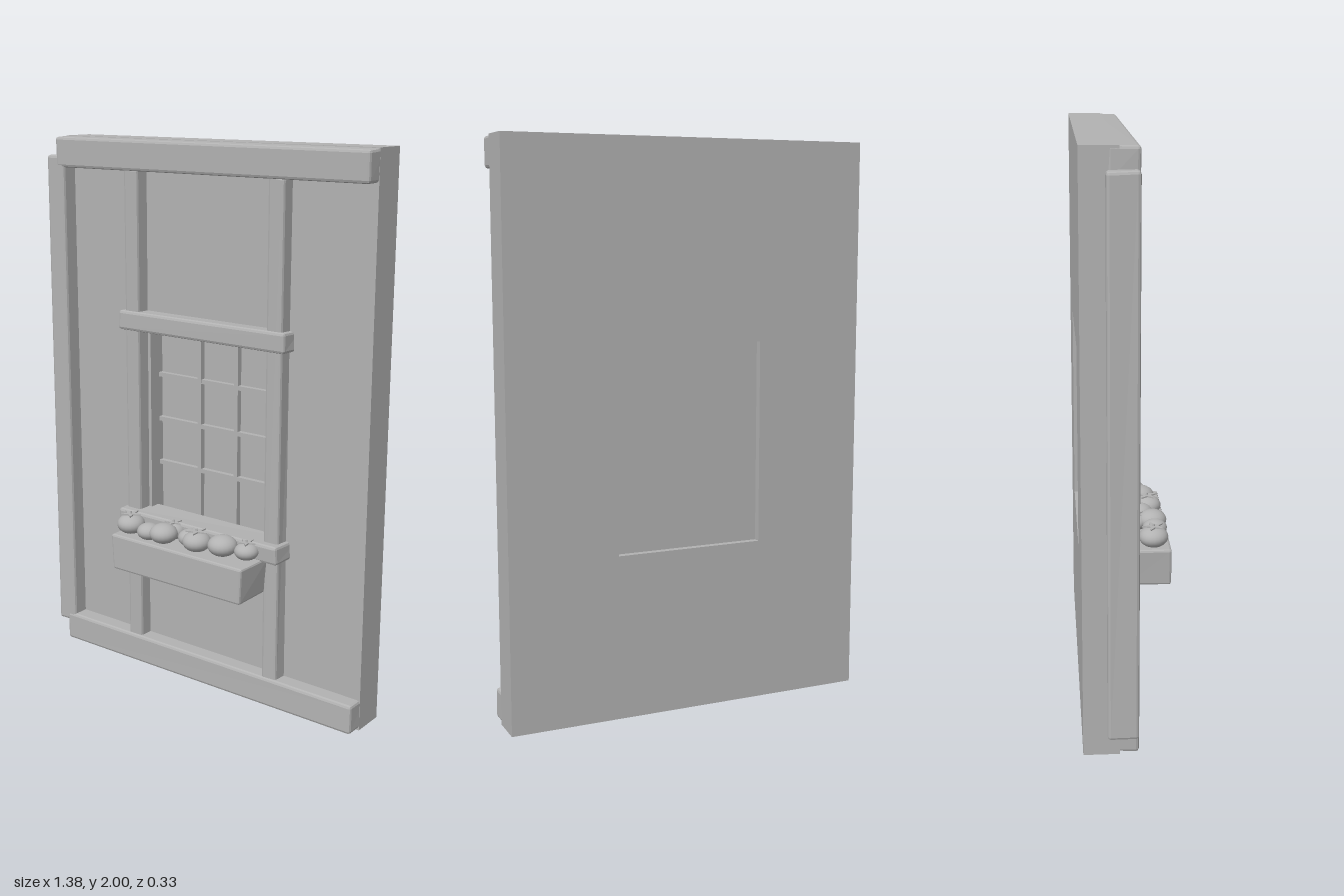
import * as THREE from 'three';
import { RoundedBoxGeometry } from 'three/addons/geometries/RoundedBoxGeometry.js';

const plaster = new THREE.MeshStandardMaterial({ color: 0xb2b2b2 });

// small repeatable wobble for hand-hewn corners
let seed = 7;
const wobble = (a) => {
  seed = (seed * 16807) % 2147483647;
  return (seed / 2147483647 - 0.5) * 2 * a;
};

function add(parent, name, geometry, x = 0, y = 0, z = 0) {
  const mesh = new THREE.Mesh(geometry, plaster);
  mesh.name = name;
  mesh.position.set(x, y, z);
  parent.add(mesh);
  return mesh;
}

// chamfered timber between two corners, each of its eight corners nudged slightly
function timber(parent, name, x0, x1, y0, y1, z0, z1, rough = 0.003, chamfer = 0.01, flare = 0) {
  const g = new RoundedBoxGeometry(x1 - x0, y1 - y0, z1 - z0, 1, chamfer);
  const nudges = Array.from({ length: 8 }, () => [wobble(rough), wobble(rough), wobble(rough * 0.5)]);
  const p = g.attributes.position;
  for (let i = 0; i < p.count; i++) {
    const x = p.getX(i), y = p.getY(i), z = p.getZ(i);
    const n = nudges[(x > 0 ? 1 : 0) + (y > 0 ? 2 : 0) + (z > 0 ? 4 : 0)];
    p.setXYZ(i, x + n[0] + Math.sign(x) * (y > 0 ? flare : -flare), y + n[1], z + n[2]);
  }
  g.computeVertexNormals();
  return add(parent, name, g, (x0 + x1) / 2, (y0 + y1) / 2, (z0 + z1) / 2);
}

function rectangle(target, x0, x1, y0, y1) {
  target.moveTo(x0, y0).lineTo(x1, y0).lineTo(x1, y1).lineTo(x0, y1).closePath();
  return target;
}

function leafStar(radius) {
  const s = new THREE.Shape();
  for (let i = 0; i < 10; i++) {
    const a = (i / 10) * Math.PI * 2, r = i % 2 ? radius * 0.38 : radius;
    s[i ? 'lineTo' : 'moveTo'](Math.cos(a) * r, Math.sin(a) * r);
  }
  s.closePath();
  return new THREE.ExtrudeGeometry(s, { depth: 0.005, bevelEnabled: false }).rotateX(-Math.PI / 2);
}

export function createModel() {
  const model = new THREE.Group();
  model.name = 'windowWall';

  // wall panel with window opening
  const outline = rectangle(new THREE.Shape(), -0.64, 0.688, 0, 2);
  outline.holes.push(rectangle(new THREE.Path(), -0.245, 0.295, 0.585, 1.305));
  add(model, 'wall', new THREE.ExtrudeGeometry(outline, { depth: 0.122, bevelEnabled: false }), 0, 0, -0.165);

  // outer timbers
  timber(model, 'topBeam', -0.64, 0.687, 1.89, 1.998, -0.08, 0.02);
  timber(model, 'bottomBeam', -0.64, 0.687, 0.006, 0.115, -0.08, 0.02);
  timber(model, 'cornerPost', -0.688, -0.602, 0.08, 1.93, -0.085, 0.018);

  // inner posts, lintel and sill
  timber(model, 'windowPostRight', -0.322, -0.258, 0.1, 1.9, -0.08, 0.01);
  timber(model, 'windowPostLeft', 0.303, 0.368, 0.1, 1.9, -0.08, 0.01);
  timber(model, 'lintel', -0.342, 0.383, 1.315, 1.385, -0.08, 0.022);
  timber(model, 'sill', -0.34, 0.383, 0.565, 0.632, -0.09, 0.044);

  // window pane and glazing bars
  const win = new THREE.Group();
  win.name = 'window';
  model.add(win);
  add(win, 'pane', new THREE.BoxGeometry(0.56, 0.74, 0.03), 0.025, 0.945, -0.125);
  for (const x of [-0.055, 0.11]) add(win, 'verticalBar', new THREE.BoxGeometry(0.016, 0.72, 0.03), x, 0.945, -0.105);
  for (const y of [0.8, 0.97, 1.14]) add(win, 'horizontalBar', new THREE.BoxGeometry(0.54, 0.016, 0.028), 0.025, y, -0.105);

  // planter box, a little wider at the top
  timber(model, 'planterBox', -0.272, 0.316, 0.44, 0.575, 0, 0.16, 0.002, 0.008, 0.004);

  // round vegetables: x, z, radius, leaf star
  const crop = [
    [-0.228, 0.1, 0.052, 1], [-0.132, 0.112, 0.044, 0], [-0.066, 0.108, 0.052, 0],
    [-0.065, 0.05, 0.044, 1], [0.028, 0.072, 0.044, 0], [0.08, 0.1, 0.052, 1],
    [0.18, 0.08, 0.054, 0], [0.27, 0.06, 0.044, 1],
  ];
  const vegetables = new THREE.Group();
  vegetables.name = 'vegetables';
  model.add(vegetables);
  crop.forEach(([x, z, r, star], i) => {
    const h = r * 0.7;
    const y = 0.572 + h;
    add(vegetables, 'fruit', new THREE.SphereGeometry(r, 20, 14).scale(1, 0.7, 1), x, y, z);
    if (!star) return;
    const leaf = add(vegetables, 'leafStar', leafStar(r * 0.78), x, y + h - 0.001, z);
    leaf.rotation.y = i * 0.7 + 0.3;
    add(vegetables, 'stem', new THREE.CylinderGeometry(0.003, 0.005, 0.012, 6), x, y + h + 0.006, z);
  });

  return model;
}
